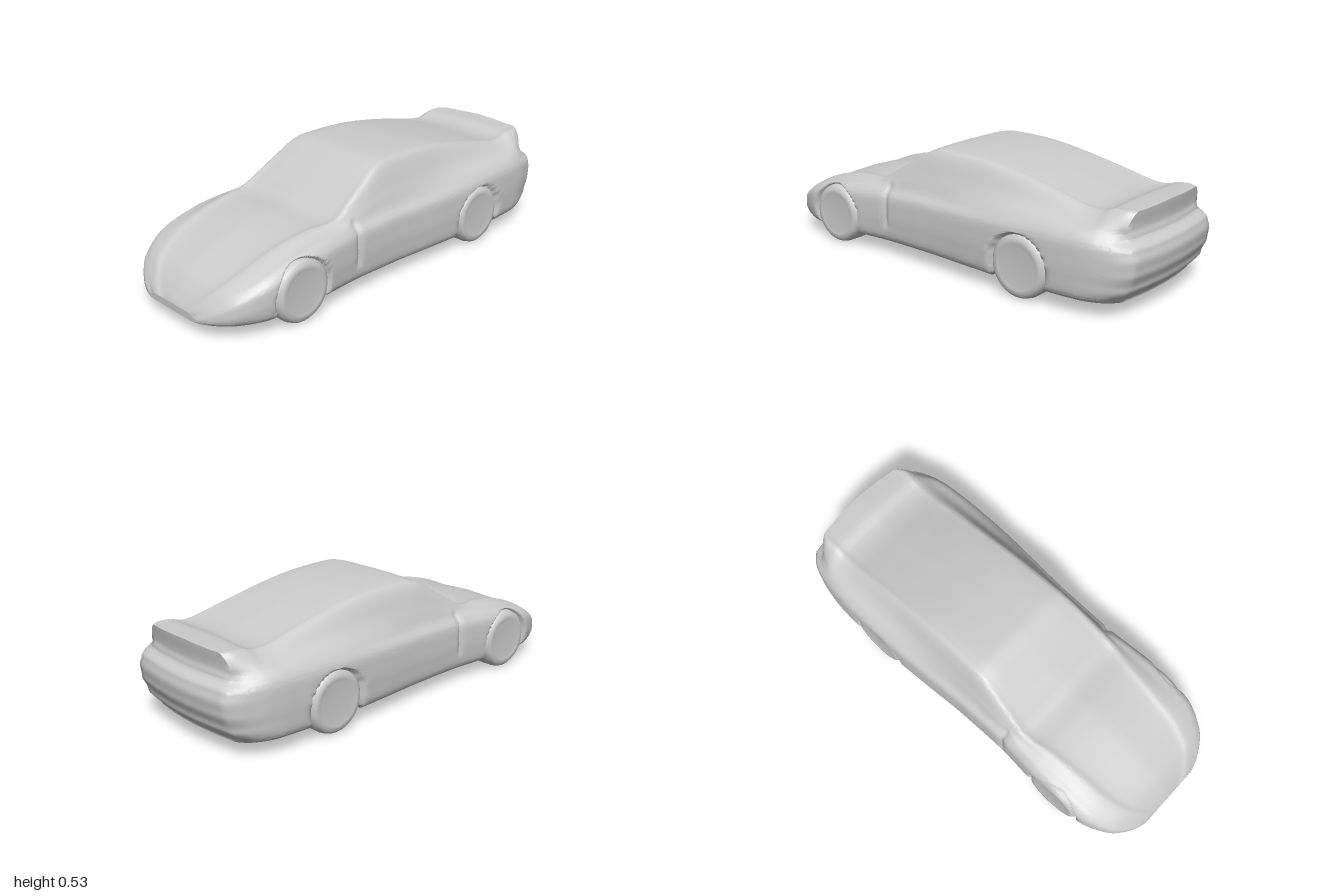
import * as THREE from 'three';
import { toCreasedNormals } from 'three/addons/utils/BufferGeometryUtils.js';

const FLOOR = 0.062, WHEEL_R = 0.14, AXLES = [0.62, -0.475];
const { smoothstep, clamp, lerp } = THREE.MathUtils;

// Stations along the car: z, half width, shoulder height, glass-base half width, roof half width, top height
const STATIONS = [
  [1, 0.16, 0.085, 0.13, 0.10, 0.095],
  [0.985, 0.21, 0.11, 0.17, 0.13, 0.12],
  [0.95, 0.27, 0.15, 0.22, 0.17, 0.165],
  [0.9, 0.32, 0.19, 0.27, 0.21, 0.21],
  [0.8, 0.368, 0.24, 0.31, 0.24, 0.262],
  [0.7, 0.38, 0.272, 0.315, 0.25, 0.30],
  [0.6, 0.385, 0.292, 0.315, 0.26, 0.325],
  [0.5, 0.38, 0.305, 0.315, 0.27, 0.34],
  [0.38, 0.37, 0.315, 0.315, 0.29, 0.35],
  [0.3, 0.365, 0.32, 0.315, 0.285, 0.395],
  [0.2, 0.365, 0.325, 0.315, 0.275, 0.46],
  [0.1, 0.367, 0.33, 0.31, 0.265, 0.518],
  [0, 0.37, 0.33, 0.31, 0.26, 0.531],
  [-0.2, 0.383, 0.335, 0.31, 0.255, 0.525],
  [-0.4, 0.392, 0.345, 0.31, 0.25, 0.495],
  [-0.6, 0.392, 0.35, 0.31, 0.25, 0.45],
  [-0.72, 0.386, 0.35, 0.31, 0.25, 0.422],
  [-0.8, 0.377, 0.35, 0.31, 0.25, 0.42],
  [-0.87, 0.362, 0.35, 0.305, 0.25, 0.437],
  [-0.95, 0.335, 0.345, 0.29, 0.25, 0.44],
  [-1, 0.295, 0.335, 0.27, 0.23, 0.44],
];

// Tail outline: height and depth behind z = -0.75
const TAIL = [[0.06, 0.17], [0.13, 0.22], [0.2, 0.244], [0.25, 0.25], [0.29, 0.24], [0.33, 0.2], [0.36, 0.193], [0.45, 0.203]];

function tailDepth(y) {
  for (let i = 1; i < TAIL.length; i++) {
    const [y0, d0] = TAIL[i - 1], [y1, d1] = TAIL[i];
    if (y <= y1) return lerp(d0, d1, smoothstep(y, y0, y1));
  }
  return 0.203;
}

// Smooth interpolation between the stations
function stationAt(u) {
  const last = STATIONS.length - 1;
  const i = Math.min(Math.floor(u), last - 1), t = u - i;
  const s = (k) => STATIONS[clamp(k, 0, last)];
  return s(i).map((p1, c) => {
    const p0 = s(i - 1)[c], p2 = s(i + 1)[c], p3 = s(i + 2)[c];
    const m1 = (p2 - p0) / 2, m2 = (p3 - p1) / 2;
    return p1 + m1 * t + (3 * (p2 - p1) - 2 * m1 - m2) * t * t + (2 * (p1 - p2) + m1 + m2) * t * t * t;
  });
}

// Half cross-section from floor centre, up the flank, to roof centre
function halfSection([, w, s, g, rw, t]) {
  const h = s - FLOOR;
  return new THREE.CatmullRomCurve3([
    [0, FLOOR], [w - 0.04, FLOOR], [w - 0.014, FLOOR + Math.min(0.02, h * 0.15)],
    [w - 0.002, FLOOR + h * 0.35], [w, FLOOR + h * 0.6], [w - 0.006, s - h * 0.14], [w - 0.032, s],
    [g, lerp(s, t, 0.35)], [rw, lerp(t, s, 0.09)], [rw - 0.035, t - 0.007], [0, t],
  ].map(([x, y]) => new THREE.Vector3(x, y, 0)));
}

// Tail shape, wheel wells, arch grooves and door seam, applied to every body point
function shape(x, y, z) {
  if (z < -0.75) {
    const k = (-0.75 - z) / 0.25;
    z = -0.75 - k * tailDepth(y) + 0.03 * k * k * (x / 0.3) ** 2;
  }
  let inset = 0.012 * Math.exp(-(((z - 0.3) / 0.014) ** 2)) * smoothstep(y, 0.12, 0.17) * (1 - smoothstep(y, 0.32, 0.35));
  for (const axle of AXLES) {
    const d = Math.hypot(z - axle, y - WHEEL_R);
    inset += 0.03 * (1 - smoothstep(d, 0.132, 0.152));
    const well = 1 - smoothstep(Math.abs(z - axle), 0.115, 0.14);
    y = Math.max(y, lerp(FLOOR, 0.1, well));
  }
  x -= Math.sign(x) * inset * smoothstep(Math.abs(x), 0.26, 0.32);
  return [x, y, z];
}

function bodyGeometry() {
  const SUB = 8, N = 80, ringCount = (STATIONS.length - 1) * SUB;
  const pos = [];
  const quad = (a, b, c, d) => pos.push(...a, ...b, ...c, ...a, ...c, ...d);
  const rings = [];
  for (let i = 0; i <= ringCount; i++) {
    const st = stationAt(i / SUB);
    const curve = halfSection(st);
    const half = [];
    for (let j = 0; j <= N; j++) {
      const p = curve.getPoint(j / N);
      half.push([j === 0 || j === N ? 0 : p.x, p.y, st[0]]);
    }
    rings.push(half);
  }
  const at = (i, j, side) => {
    const [x, y, z] = rings[i][j];
    return shape(x * side, y, z);
  };

  // Skin, both sides
  for (let i = 0; i < ringCount; i++) {
    for (let j = 0; j < N; j++) {
      quad(at(i, j, 1), at(i + 1, j, 1), at(i + 1, j + 1, 1), at(i, j + 1, 1));
      quad(at(i, j, -1), at(i, j + 1, -1), at(i + 1, j + 1, -1), at(i + 1, j, -1));
    }
  }

  // Nose and tail faces, gridded across the width
  const COLS = 16;
  for (const i of [0, ringCount]) {
    for (let j = 0; j < N; j++) {
      for (let c = 0; c < COLS; c++) {
        const s0 = (c / COLS) * 2 - 1, s1 = ((c + 1) / COLS) * 2 - 1;
        const a = at(i, j, s0), b = at(i, j, s1), d = at(i, j + 1, s0), e = at(i, j + 1, s1);
        if (i === 0) quad(a, b, e, d);
        else quad(a, d, e, b);
      }
    }
  }
  const geo = new THREE.BufferGeometry();
  geo.setAttribute('position', new THREE.Float32BufferAttribute(pos, 3));
  return toCreasedNormals(geo, 0.9);
}

// Wheel turned about x, outer face towards +x
function wheelGeometry() {
  const profile = [[0, 0], [0.115, 0], [0.132, 0.008], [WHEEL_R, 0.03], [WHEEL_R, 0.1], [0.134, 0.122],
    [0.12, 0.135], [0.1, 0.136], [0.085, 0.13], [0, 0.13]].map(([r, h]) => new THREE.Vector2(r, h));
  const geo = new THREE.LatheGeometry(profile, 48);
  geo.rotateZ(-Math.PI / 2);
  return geo;
}

export function createModel() {
  const car = new THREE.Group();
  car.name = 'car';
  const material = new THREE.MeshStandardMaterial({ color: 0xcccccc });

  const body = new THREE.Mesh(bodyGeometry(), material);
  body.name = 'body';
  car.add(body);

  const wheelGeo = wheelGeometry();
  AXLES.forEach((z, i) => {
    for (const side of [1, -1]) {
      const wheel = new THREE.Mesh(wheelGeo, material);
      wheel.name = (i === 0 ? 'front' : 'rear') + (side > 0 ? 'Left' : 'Right') + 'Wheel';
      wheel.position.set(side * (i === 0 ? 0.24 : 0.248), WHEEL_R, z);
      if (side < 0) wheel.rotation.y = Math.PI;
      car.add(wheel);
    }
  });
  return car;
}
